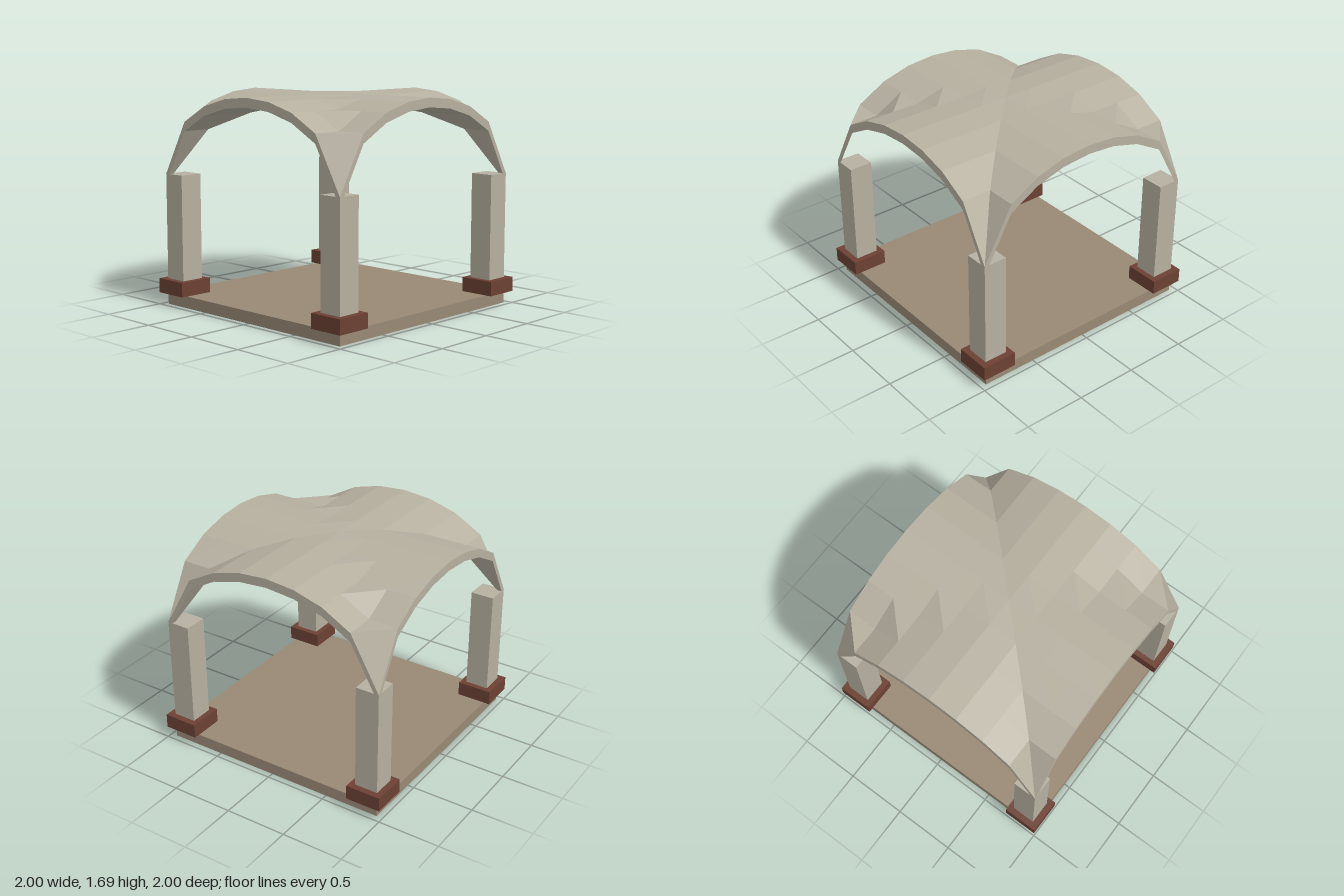
import * as THREE from 'three';

const HALF = 0.95, CELLS = 8, SPRING = 1.05, RISE = 0.64, THICK = 0.072;

// Groin vault: the higher of two crossing elliptical barrels
function vaultHeight(x, z) {
  const barrel = (t) => RISE * Math.sqrt(Math.max(0, 1 - (t / HALF) ** 2));
  return SPRING + Math.max(barrel(x), barrel(z));
}

// Faceted shell with top, underside and rim
function vaultGeometry() {
  const pos = [];
  const at = (i) => -HALF + (2 * HALF * i) / CELLS;
  const point = (i, j, drop) => [at(i), vaultHeight(at(i), at(j)) - drop, at(j)];
  const tri = (a, b, c) => pos.push(...a, ...b, ...c);
  const rim = (i0, j0, i1, j1) => {
    const a = point(i0, j0, 0), b = point(i1, j1, 0);
    const c = point(i1, j1, THICK), d = point(i0, j0, THICK);
    tri(a, d, c);
    tri(a, c, b);
  };
  for (let i = 0; i < CELLS; i++) {
    for (let j = 0; j < CELLS; j++) {
      for (const drop of [0, THICK]) {
        const a = point(i, j, drop), b = point(i, j + 1, drop);
        const c = point(i + 1, j + 1, drop), d = point(i + 1, j, drop);
        if (drop === 0) { tri(a, b, c); tri(a, c, d); }
        else { tri(a, c, b); tri(a, d, c); }
      }
    }
    rim(i, CELLS, i + 1, CELLS);   // front
    rim(i + 1, 0, i, 0);           // back
    rim(CELLS, i + 1, CELLS, i);   // left
    rim(0, i, 0, i + 1);           // right
  }
  const g = new THREE.BufferGeometry();
  g.setAttribute('position', new THREE.Float32BufferAttribute(pos, 3));
  g.computeVertexNormals();
  return g;
}

export function createModel() {
  const material = (name, color) => {
    const m = new THREE.MeshStandardMaterial({ color });
    m.name = name;
    return m;
  };
  const stone = material('pale stone', 0xb6b0a0);
  const earth = material('tan floor', 0x998975);
  const brick = material('red brown brick', 0x6c4133);

  const model = new THREE.Group();
  model.name = 'vaultedPavilion';

  const box = (name, mat, width, y0, y1, x, z) => {
    const mesh = new THREE.Mesh(new THREE.BoxGeometry(width, y1 - y0, width), mat);
    mesh.name = name;
    mesh.position.set(x, (y0 + y1) / 2, z);
    model.add(mesh);
  };

  // Floor slab
  box('floor', earth, 2 * HALF, 0, 0.095, 0, 0);

  // Corner plinths and pillars
  for (const [sx, side] of [[1, 'Left'], [-1, 'Right']]) {
    for (const [sz, end] of [[1, 'front'], [-1, 'back']]) {
      box(`${end}${side}Plinth`, brick, 0.285, 0.095, 0.21, sx * 0.8575, sz * 0.8575);
      box(`${end}${side}Pillar`, stone, 0.19, 0.21, SPRING, sx * 0.855, sz * 0.855);
    }
  }

  // Vaulted roof
  const roof = new THREE.Mesh(vaultGeometry(), stone);
  roof.name = 'vaultedRoof';
  model.add(roof);

  return model;
}
